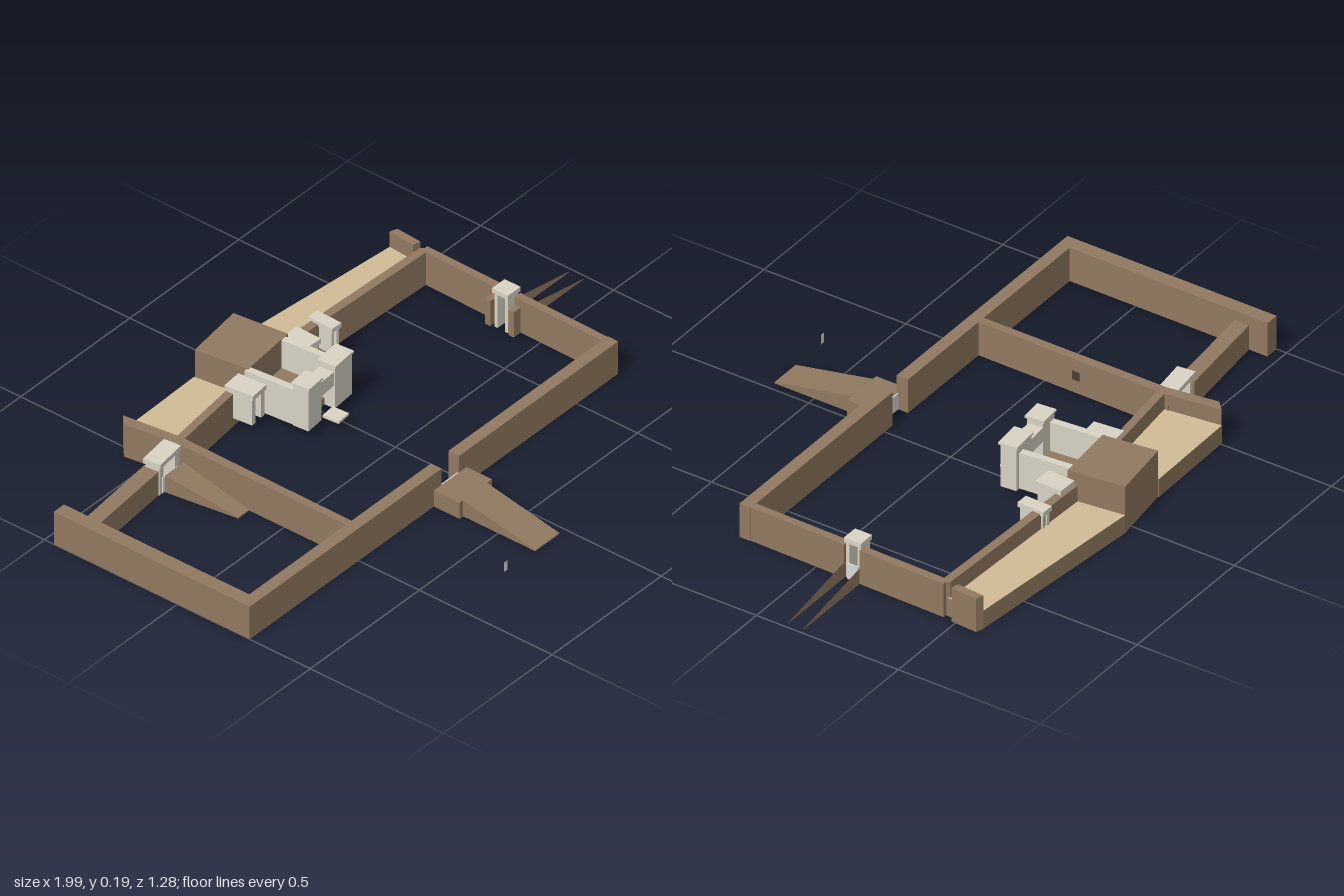
import * as THREE from 'three';

const mat = (name, color, side = THREE.FrontSide) => {
  const m = new THREE.MeshStandardMaterial({ color, side });
  m.name = name;
  return m;
};
const rect = (x0, x1, z0, z1) => [[x0, z0], [x1, z0], [x1, z1], [x0, z1]];

export function createModel() {
  const root = new THREE.Group();
  root.name = 'walledCompound';
  const brown = mat('mudBrick', 0x917960, THREE.DoubleSide);
  const tan = mat('terraceSand', 0xd2bb96, THREE.DoubleSide);
  const stone = mat('paleStone', 0xd8d3c4, THREE.DoubleSide);
  const grey = mat('lightGreyPanel', 0xd8d8d8, THREE.DoubleSide);
  const dark = mat('darkOpening', 0x4a3d30);

  const add = (name, geo, m, parent = root) => {
    const mesh = new THREE.Mesh(geo, m);
    mesh.name = name;
    parent.add(mesh);
    return mesh;
  };
  // Box from its limits
  const box = (name, x0, x1, y0, y1, z0, z1, m, parent) =>
    add(name, new THREE.BoxGeometry(x1 - x0, y1 - y0, z1 - z0)
      .translate((x0 + x1) / 2, (y0 + y1) / 2, (z0 + z1) / 2), m, parent);
  // Wall over a plan outline of [x, z] corners, open underneath
  const wall = (name, pts, height, topMat = brown) => {
    const shape = new THREE.Shape(pts.map(([x, z]) => new THREE.Vector2(x, -z)));
    const solid = new THREE.ExtrudeGeometry(shape, { depth: height, bevelEnabled: false })
      .rotateX(-Math.PI / 2);
    const lid = (pts.length - 2) * 3;
    // the extrusion lists its lower lid first, then the upper lid, then the sides
    const pos = solid.attributes.position.array.slice(lid * 3);
    const geo = new THREE.BufferGeometry();
    geo.setAttribute('position', new THREE.BufferAttribute(pos, 3));
    geo.computeVertexNormals();
    geo.addGroup(0, lid, 0);
    geo.addGroup(lid, pos.length / 3 - lid, 1);
    return add(name, geo, [topMat, brown]);
  };
  // Solid ramp along z, sloping from height h at z0 down to the ground at z1
  const ramp = (name, [a0, a1], z0, [b0, b1], z1, h) => {
    const geo = new THREE.BoxGeometry(1, 1, 1);
    const p = geo.attributes.position;
    for (let i = 0; i < p.count; i++) {
      const low = p.getZ(i) > 0, right = p.getX(i) > 0, top = p.getY(i) > 0;
      p.setXYZ(i, low ? (right ? b1 : b0) : (right ? a1 : a0),
        top ? (low ? 0.004 : h) : 0, low ? z1 : z0);
    }
    geo.computeVertexNormals();
    return add(name, geo, brown);
  };
  // Doorway of two posts and a lintel; width runs along x before turning
  const gate = (name, x, z, width, depth, y0, y1, post, turn = 0) => {
    const g = new THREE.Group();
    g.name = name;
    const w = width / 2, d = depth / 2, t = 0.016;
    for (const s of [-1, 1]) {
      const c = s * (w - post / 2 - 0.004);
      box('gatePost', c - post / 2, c + post / 2, y0, y1 - t, -d + 0.006, d - 0.006, stone, g);
    }
    box('gateLintel', -w, w, y1 - t, y1, -d, d, stone, g);
    g.position.set(x, 0, z);
    g.rotation.y = turn;
    root.add(g);
  };

  const H = 0.117, T = 0.063;

  // Enclosure walls
  wall('frontWallRight', rect(-1, -0.12, 0.232, 0.272), H);
  wall('frontWallLeft', rect(-0.04, 0.69, 0.232, 0.272), H);
  wall('outerSideWall', rect(-1, -0.953, -0.465, 0.232), H);
  wall('dividingWall', [[-0.51, 0.232], [-0.484, 0.232], [-0.48, -0.41], [-0.512, -0.41]], H);
  wall('sideWallFront', [[0.662, 0.232], [0.688, 0.232], [0.694, -0.1], [0.667, -0.1]], H);
  wall('sideWallBack', [[0.668, -0.155], [0.695, -0.155], [0.7, -0.455], [0.673, -0.455]], H);
  wall('rearYardWall', [[-0.953, -0.35], [-0.953, -0.4], [-0.62, -0.435], [-0.62, -0.382]], 0.085);
  wall('rearYardWallEnd', rect(-0.53, -0.48, -0.44, -0.4), 0.085);

  // Rear terrace, its inner parapet and end walls
  wall('terraceRight', [[-0.505, -0.611], [-0.17, -0.618], [-0.145, -0.46], [-0.48, -0.42]], T, tan);
  wall('terraceLeft', [[0.04, -0.643], [0.693, -0.583], [0.688, -0.46], [0.06, -0.48]], T, tan);
  wall('terraceParapetRight', [[-0.49, -0.398], [-0.13, -0.44], [-0.145, -0.465], [-0.49, -0.424]], H);
  wall('terraceParapetLeft', [[0.055, -0.46], [0.7, -0.437], [0.68, -0.466], [0.055, -0.488]], H);
  wall('terraceEndWallRight', [[-0.51, -0.4], [-0.48, -0.415], [-0.505, -0.61], [-0.537, -0.58]], H);
  wall('terraceEndWallLeft', [[0.678, -0.49], [0.705, -0.485], [0.711, -0.576], [0.685, -0.585]], H);

  // Raised bastion
  wall('bastion', [[-0.17, -0.615], [0.04, -0.643], [0.062, -0.455], [-0.147, -0.435]], 0.162);

  // Gatehouse in front of the bastion
  const house = new THREE.Group();
  house.name = 'gatehouse';
  house.position.set(-0.03, 0, -0.25);
  house.rotation.y = 0.09;
  root.add(house);
  box('gatehouseFloor', -0.09, 0.075, 0.035, 0.06, -0.21, -0.01, brown, house);
  for (const [x0, x1] of [[-0.115, -0.04], [0.022, 0.118]]) {
    box('gatehouseTower', x0 + 0.004, x1 - 0.004, 0.035, 0.182, -0.028, 0.026, stone, house);
    box('towerCap', x0, x1, 0.182, 0.19, -0.033, 0.031, stone, house);
  }
  box('gatehouseLintel', -0.044, 0.026, 0.115, 0.165, -0.028, 0.022, stone, house);
  for (const [x0, x1] of [[-0.108, -0.085], [0.075, 0.098]])
    box('gatehouseSideWall', x0, x1, 0.035, 0.16, -0.2, -0.028, stone, house);
  box('gatehouseStep', -0.03, 0.023, 0.034, 0.042, 0.02, 0.078, stone, house);

  // Small doorways along the terrace
  gate('terraceDoorRight', -0.187, -0.41, 0.072, 0.1, 0.03, 0.14, 0.017, 0.1);
  gate('terraceDoorMiddle', 0.098, -0.435, 0.068, 0.092, 0.03, 0.137, 0.017, -0.03);
  gate('terraceDoorLeft', 0.22, -0.447, 0.042, 0.093, 0.03, 0.127, 0.011, -0.03);

  // Side gate with a ramp held between two upright triangular plates
  gate('sideGate', 0.664, -0.128, 0.06, 0.058, 0, 0.14, 0.012, Math.PI / 2);
  for (const z of [-0.174, -0.086])
    box('sideGateButtress', 0.635, 0.67, 0, 0.09, z - 0.01, z + 0.01, brown);
  box('sideGateSill', 0.688, 0.693, 0, 0.054, -0.147, -0.109, grey);
  const plate = new THREE.ShapeGeometry(new THREE.Shape([
    new THREE.Vector2(0.69, 0), new THREE.Vector2(0.985, 0),
    new THREE.Vector2(0.985, 0.003), new THREE.Vector2(0.69, 0.055),
  ]));
  for (const z of [-0.1, -0.155]) add('sideRampPlate', plate, brown).position.z = z;

  // Rear yard gate, its riser and inner ramp
  gate('yardGate', -0.57, -0.41, 0.115, 0.06, 0, 0.115, 0.022, 0.13);
  box('yardGateRiser', -0.605, -0.535, 0, 0.055, -0.384, -0.379, grey);
  ramp('yardRamp', [-0.597, -0.512], -0.378, [-0.562, -0.512], -0.13, 0.06);
  box('dividingWallOpening', -0.486, -0.48, 0.045, 0.075, -0.125, -0.1, dark);

  // Front gate platform, ramp and inner riser
  wall('frontPlatform', rect(-0.155, -0.005, 0.272, 0.368), 0.058);
  ramp('frontRamp', [-0.138, -0.028], 0.368, [-0.138, -0.028], 0.64, 0.058);
  box('frontGateRiser', -0.12, -0.04, 0, 0.056, 0.266, 0.271, grey);

  // Small standing marker outside the front wall
  add('markerSlab', new THREE.PlaneGeometry(0.016, 0.034), grey).position.set(-0.272, 0.022, 0.638);

  return root;
}
